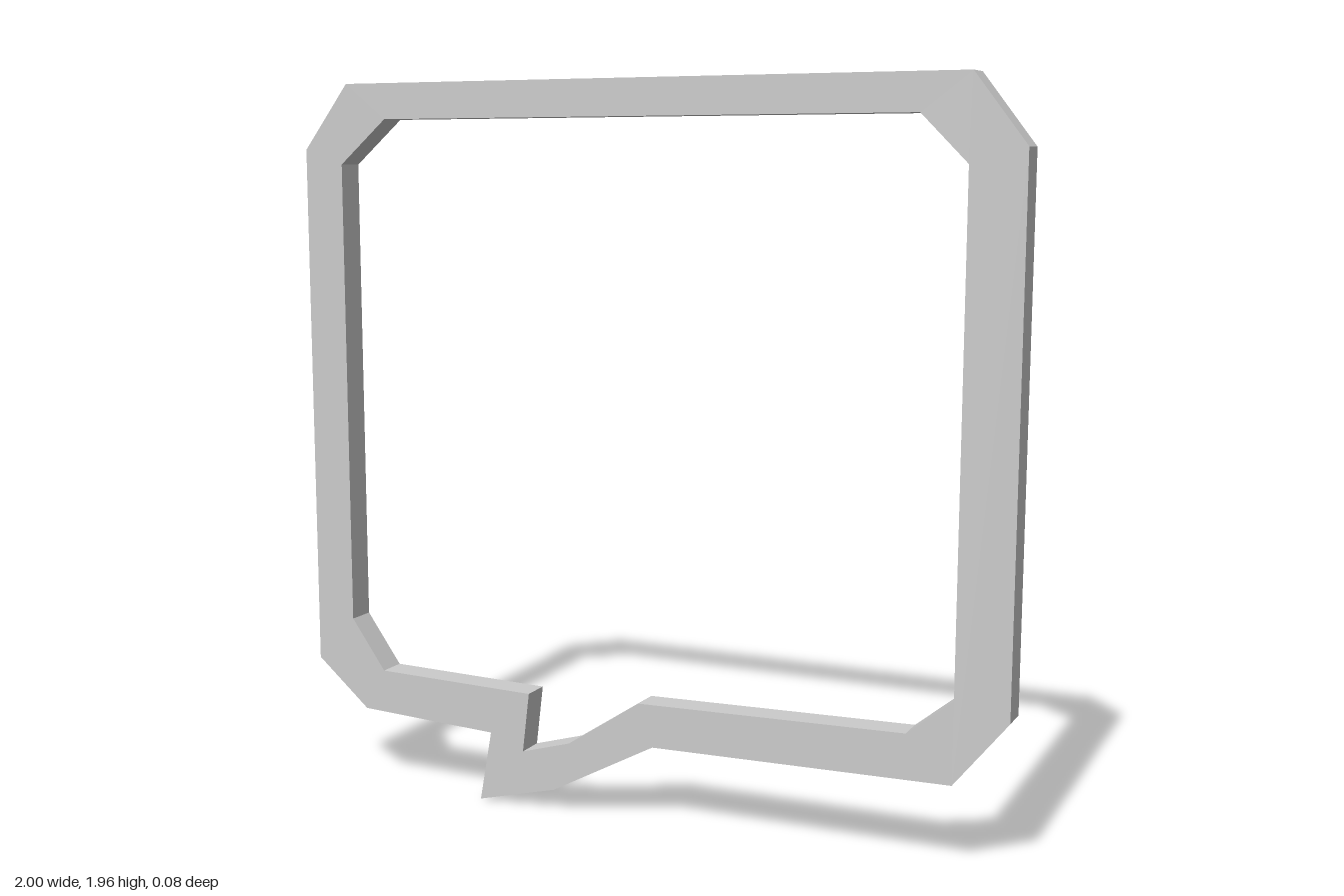
import * as THREE from 'three';

const toPoints = (pairs) => pairs.map(([x, y]) => new THREE.Vector2(x, y));

export function createModel() {
  const depth = 0.08;

  // Outer outline: chamfered rectangle with a pointed tail at the lower left
  const outer = toPoints([
    [-0.865, 1.955], [-1, 1.78], [-1, 0.345], [-0.845, 0.213],
    [-0.44, 0.195], [-0.475, 0], [-0.245, 0.06], [0.05, 0.22],
    [0.86, 0.235], [1, 0.41], [1, 1.78], [0.865, 1.955],
  ]);

  // Opening, following the outline and the tail
  const inner = toPoints([
    [-0.745, 1.86], [0.74, 1.86], [0.86, 1.74], [0.86, 0.45],
    [0.74, 0.352], [0.01, 0.335], [-0.198, 0.197], [-0.34, 0.155],
    [-0.32, 0.32], [-0.785, 0.33], [-0.885, 0.47], [-0.885, 1.74],
  ]);

  // Flat frame with straight, unbevelled sides
  const shape = new THREE.Shape(outer);
  shape.holes.push(new THREE.Path(inner));
  const geometry = new THREE.ExtrudeGeometry(shape, { depth, bevelEnabled: false });
  geometry.translate(0, 0, -depth / 2);

  const frame = new THREE.Mesh(
    geometry,
    new THREE.MeshStandardMaterial({ color: 0xcccccc, flatShading: true })
  );
  frame.name = 'speechBubbleFrame';

  const group = new THREE.Group();
  group.name = 'speechBubble';
  group.add(frame);
  return group;
}
